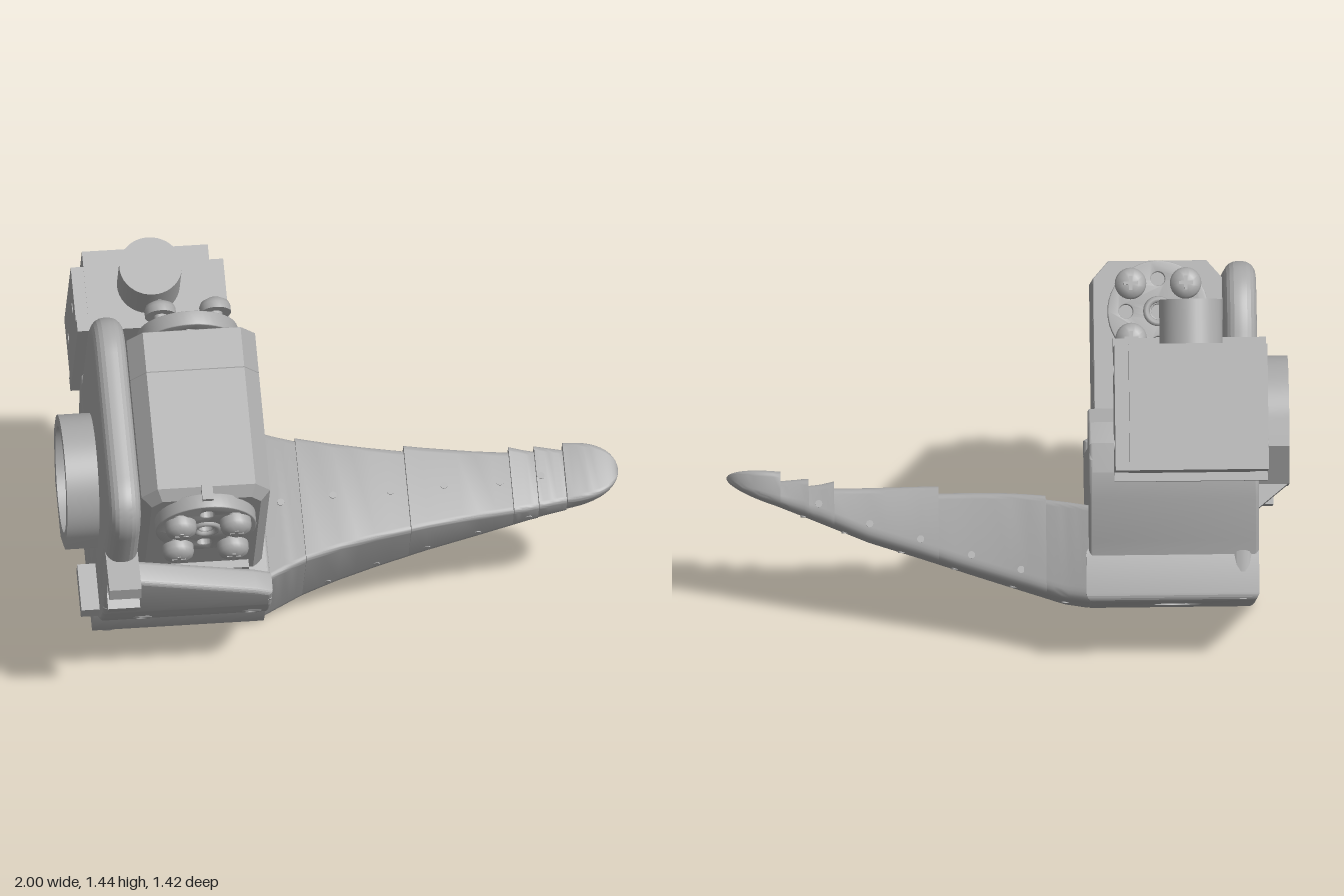
import * as THREE from 'three';
import { toCreasedNormals } from 'three/addons/utils/BufferGeometryUtils.js';

export function createModel() {
  const grey = new THREE.MeshStandardMaterial({ color: 0xa8a8a8 });
  grey.name = 'plastic grey';
  const body = new THREE.Group();
  body.name = 'tiltedAssembly';

  const add = (name, geo, parent = body) => {
    const m = new THREE.Mesh(geo, grey);
    m.name = name;
    parent.add(m);
    return m;
  };
  const poly = pts => new THREE.Shape(pts.map(p => new THREE.Vector2(p[0], p[1])));
  const hole = (shape, x, y, r) => {
    const p = new THREE.Path();
    p.absarc(x, y, r, 0, Math.PI * 2, true);
    shape.holes.push(p);
  };
  // Extrude from a to b along z, with edges bevelled inside the outline
  const slab = (shape, a, b, bevel = 0, steps = 5) => {
    const g = new THREE.ExtrudeGeometry(shape, {
      depth: b - a - 2 * bevel, bevelEnabled: bevel > 0, bevelThickness: bevel,
      bevelSize: bevel, bevelOffset: -bevel, bevelSegments: steps, curveSegments: 24,
    });
    g.translate(0, 0, a + bevel);
    return toCreasedNormals(g, 0.3);
  };
  // Same for an outline drawn in (z, y) and swept along x
  const slabX = (shape, a, b, bevel) => slab(shape, -b, -a, bevel).rotateY(-Math.PI / 2);
  const box = (name, x0, x1, y0, y1, z0, z1) =>
    add(name, new THREE.BoxGeometry(x1 - x0, y1 - y0, z1 - z0)
      .translate((x0 + x1) / 2, (y0 + y1) / 2, (z0 + z1) / 2));

  // Base: drilled floor, flared housing, raised front and back walls
  const floor = poly([[-0.885, -0.005], [-0.27, -0.005], [-0.27, 0.61], [-0.885, 0.61]]);
  hole(floor, -0.6, 0.3, 0.095);
  add('baseFloor', slab(floor, 0, 0.2, 0.03).rotateX(-Math.PI / 2));
  const sleeve = [[0.085, 0.15], [0.085, 0], [0.127, 0]].reverse().map(p => new THREE.Vector2(p[0], p[1]));
  sleeve.reverse();
  add('floorHoleSleeve', toCreasedNormals(new THREE.LatheGeometry(sleeve, 32), 0.5))
    .position.set(-0.6, 0, -0.3);
  add('baseHousing', slabX(poly([
    [0.005, 0.165], [0.123, 0.367], [0.15, 0.45], [0.165, 0.56], [-0.755, 0.56],
    [-0.755, 0.455], [-0.726, 0.361], [-0.637, 0.214], [-0.61, 0.165]]), -0.885, -0.28, 0.015));
  add('frontWall', slab(poly([
    [-0.885, 0.5], [-0.28, 0.5], [-0.28, 0.6], [-0.34, 0.63], [-0.77, 0.76], [-0.885, 0.78]]),
  0.07, 0.165, 0.02));
  add('backWall', slabX(poly([
    [-0.6, 0.5], [-0.6, 0.685], [-0.68, 0.685], [-0.735, 0.635], [-0.755, 0.5]]),
  -0.8, -0.28, 0.01));
  for (const x of [-0.735, -0.345]) {
    const ring = add('bossRing', new THREE.TorusGeometry(0.028, 0.008, 8, 20));
    ring.position.set(x, 0.41, 0.134);
    ring.rotation.x = 0.3;
  }

  // Side plate with rounded edge
  const plate = new THREE.Shape();
  plate.moveTo(0, 0.005);
  plate.lineTo(0.0, 0.16);
  plate.lineTo(0.12, 0.37);
  plate.lineTo(0.12, 1.04);
  plate.quadraticCurveTo(0.12, 1.21, -0.05, 1.21);
  plate.lineTo(-0.54, 1.21);
  plate.quadraticCurveTo(-0.75, 1.21, -0.755, 0.95);
  plate.lineTo(-0.755, 0.455);
  plate.lineTo(-0.62, 0.2);
  plate.lineTo(-0.6, 0.005);
  add('sidePlate', slabX(plate, -0.885, -0.77, 0.05));
  add('forkTab', slabX(poly([
    [0.05, 0.7], [0.24, 0.7], [0.25, 0.745], [0.19, 0.755], [0.17, 0.785],
    [0.19, 0.815], [0.25, 0.825], [0.235, 0.87], [0.05, 0.85]]), -0.885, -0.77, 0));
  box('sideLug', -0.95, -0.87, 0.36, 0.415, -0.08, 0.1);

  // Round socket on the outer side of the plate, with a ramp below
  const hub = new THREE.Group();
  hub.name = 'sideSocket';
  hub.position.set(0, 0.65, -0.31);
  body.add(hub);
  const rim = new THREE.Shape();
  rim.absarc(0, 0, 0.23, 0, Math.PI);
  rim.lineTo(-0.23, -0.1);
  rim.lineTo(-0.1, -0.23);
  rim.lineTo(0.12, -0.23);
  rim.lineTo(0.23, -0.1);
  hole(rim, 0, 0, 0.19);
  add('socketRim', slabX(rim, -1, -0.87), hub);
  add('socketRamp', slab(poly([[-1, -0.225], [-0.87, -0.33], [-0.87, -0.225]]), -0.1, 0.12), hub);
  const hornShape = (r, center) => {
    const s = new THREE.Shape();
    s.absarc(0, 0, r, 0, Math.PI * 2);
    hole(s, 0, 0, center);
    for (let i = 0; i < 4; i++) {
      const a = i * Math.PI / 2;
      hole(s, Math.cos(a) * 0.115, Math.sin(a) * 0.115, 0.025);
    }
    return s;
  };
  add('socketDisc', slabX(hornShape(0.18, 0.05), -0.96, -0.87), hub);

  // Main actuator: three stacked casings with chamfered corners
  const casing = poly([
    [-0.765, 0.54], [-0.305, 0.54], [-0.305, 1.15], [-0.36, 1.212], [-0.71, 1.212], [-0.765, 1.15]]);
  [[-0.27, 0.04, 0.035], [-0.453, -0.206, 0.002], [-0.61, -0.453, 0.002]].forEach(([a, b, v]) =>
    add('actuatorCasing', slab(casing, a, b, v, 1)));
  box('actuatorFoot', -0.72, -0.36, 0.56, 0.64, 0, 0.07);

  // Output discs with screws, front and back
  const headProfile = [[0.025, -0.06], [0.025, 0.02], [0.056, 0.02], [0.056, 0.045], [0.05, 0.06],
    [0.03, 0.072], [0, 0.075]].map(p => new THREE.Vector2(p[0], p[1]));
  const headGeo = toCreasedNormals(
    new THREE.LatheGeometry(headProfile, 24).rotateX(Math.PI / 2), 0.7);
  const makeHorn = (name, z, turn) => {
    const g = new THREE.Group();
    g.name = name;
    g.position.set(-0.535, 1.03, z);
    g.rotation.y = turn;
    add('hornDisc', slab(hornShape(0.18, 0.025), -0.01, 0.045, 0.004), g);
    add('hornBoss', new THREE.CylinderGeometry(0.09, 0.09, 0.06, 24).rotateX(Math.PI / 2), g)
      .position.z = -0.03;
    add('hornCollar', new THREE.TorusGeometry(0.042, 0.012, 8, 24), g).position.z = 0.045;
    for (const x of [-0.098, 0.098]) for (const y of [-0.098, 0.098]) {
      const s = new THREE.Group();
      s.name = 'screw';
      s.position.set(x, y, 0.045);
      add('screwBody', headGeo, s);
      add('slotAcross', new THREE.BoxGeometry(0.05, 0.012, 0.008), s).position.z = 0.072;
      add('slotUp', new THREE.BoxGeometry(0.012, 0.05, 0.008), s).position.z = 0.072;
      g.add(s);
    }
    body.add(g);
  };
  makeHorn('frontHorn', 0.04, 0);
  makeHorn('rearHorn', -0.64, Math.PI);
  box('frontKey', -0.555, -0.515, 1.19, 1.225, 0.0, 0.06);

  // Rear motor box with flange, side cheeks and round can
  box('motorFlange', -0.915, -0.37, 0.42, 0.93, -0.805, -0.755);
  box('motorBox', -0.87, -0.42, 0.45, 0.9, -1.078, -0.8);
  box('motorCheeks', -0.915, -0.37, 0.452, 0.898, -1.02, -0.8);
  add('motorCan', new THREE.CylinderGeometry(0.112, 0.112, 0.18, 40))
    .position.set(-0.645, 0.97, -0.935);
  for (const y of [0.545, 0.81]) for (const x of [-0.915, -0.37]) {
    const pin = add('motorPin', new THREE.CylinderGeometry(0.02, 0.02, 0.006, 16));
    pin.position.set(x, y, -0.9);
    pin.rotation.z = Math.PI / 2;
  }

  // Finger sections: x, bottom, top, half width
  const midZ = -0.3;
  const keys = [
    [-0.285, 0, 0.345, 0.3], [-0.2, 0.012, 0.36, 0.262], [-0.13, 0.034, 0.37, 0.236],
    [-0.015, 0.07, 0.388, 0.207], [0.135, 0.118, 0.402, 0.18], [0.315, 0.177, 0.414, 0.154],
    [0.495, 0.234, 0.424, 0.134], [0.67, 0.306, 0.436, 0.12], [0.81, 0.363, 0.462, 0.108],
    [1, 0.43, 0.48, 0.095]];
  const sample = x => {
    let i = 0;
    while (i < keys.length - 2 && x > keys[i + 1][0]) i++;
    const t = (x - keys[i][0]) / (keys[i + 1][0] - keys[i][0]);
    return keys[i].map((v, k) => THREE.MathUtils.lerp(v, keys[i + 1][k], t));
  };
  // Rounded section whose upper edge alone is lifted; shrink closes the tip
  const ringAt = (x, lift, shrink) => {
    const [, b, top, h] = sample(x);
    const t = top + lift, w = h + lift * 0.4;
    const c = Math.min(0.05, (t - b) * 0.4), e = 0.022;
    const s = new THREE.Shape();
    s.moveTo(h, b + c);
    s.lineTo(w, t - e);
    s.quadraticCurveTo(w, t, w - e, t);
    s.lineTo(e - w, t);
    s.quadraticCurveTo(-w, t, -w, t - e);
    s.lineTo(-h, b + c);
    s.quadraticCurveTo(-h, b, c - h, b);
    s.lineTo(h - c, b);
    s.quadraticCurveTo(h, b, h, b + c);
    const cy = (b + t) / 2;
    return s.getPoints(6).map(p => [x, cy + (p.y - cy) * shrink, midZ + p.x * shrink]);
  };
  const loft = rings => {
    const pos = [], tri = (...p) => p.forEach(v => pos.push(...v));
    const n = rings[0].length;
    const mid = r => [0, 1, 2].map(k => r.reduce((s, p) => s + p[k], 0) / n);
    const first = rings[0], last = rings[rings.length - 1];
    for (let j = 0; j < n; j++) {
      const k = (j + 1) % n;
      for (let i = 0; i < rings.length - 1; i++) {
        const a = rings[i], b = rings[i + 1];
        tri(a[j], b[j], a[k]);
        tri(b[j], b[k], a[k]);
      }
      tri(mid(first), first[j], first[k]);
      tri(mid(last), last[k], last[j]);
    }
    const g = new THREE.BufferGeometry();
    g.setAttribute('position', new THREE.Float32BufferAttribute(pos, 3));
    return toCreasedNormals(g, 0.6);
  };
  const cuts = [-0.285, -0.13, 0.25, 0.62, 0.71, 0.81, 1];
  const liftAt = (i, t) => (i === 0 ? 0 : i === 5 ? 0.022 : 0.014 * (1 - 1.8 * t));
  for (let i = 0; i < 6; i++) {
    const rings = [], tip = i === 5, n = tip ? 12 : 6;
    for (let k = 0; k <= n; k++) {
      const t = tip ? Math.sin(k / n * Math.PI / 2) : k / n;
      const x = THREE.MathUtils.lerp(cuts[i], cuts[i + 1], t);
      rings.push(ringAt(x, liftAt(i, t), tip ? Math.max(0.08, Math.sqrt(1 - t ** 3)) : 1));
    }
    add(tip ? 'fingerTip' : 'fingerSegment', loft(rings));
  }

  // Small pins along the top, the underside and both flanks of the finger
  const pinGeo = new THREE.CylinderGeometry(0.013, 0.013, 0.03, 12);
  for (const x of [-0.2, -0.015, 0.19, 0.38, 0.58, 0.725]) {
    const [, b, t] = sample(x);
    const i = cuts.findIndex(c => c > x) - 1;
    const lift = liftAt(i, (x - cuts[i]) / (cuts[i + 1] - cuts[i]));
    add('topPin', pinGeo).position.set(x, t + lift - 0.012, midZ);
    add('undersidePin', pinGeo).position.set(x, b + 0.011, midZ);
  }
  for (const x of [-0.04, 0.135, 0.315, 0.495, 0.675]) {
    const [, b, , h] = sample(x);
    for (const side of [-1, 1]) {
      const p = add('flankPin', pinGeo);
      p.position.set(x, b + 0.06, midZ + side * (h - 0.012));
      p.rotation.x = Math.PI / 2;
    }
  }

  body.rotation.x = Math.PI / 6;
  const model = new THREE.Group();
  model.name = 'roboticFinger';
  model.add(body);
  return model;
}
